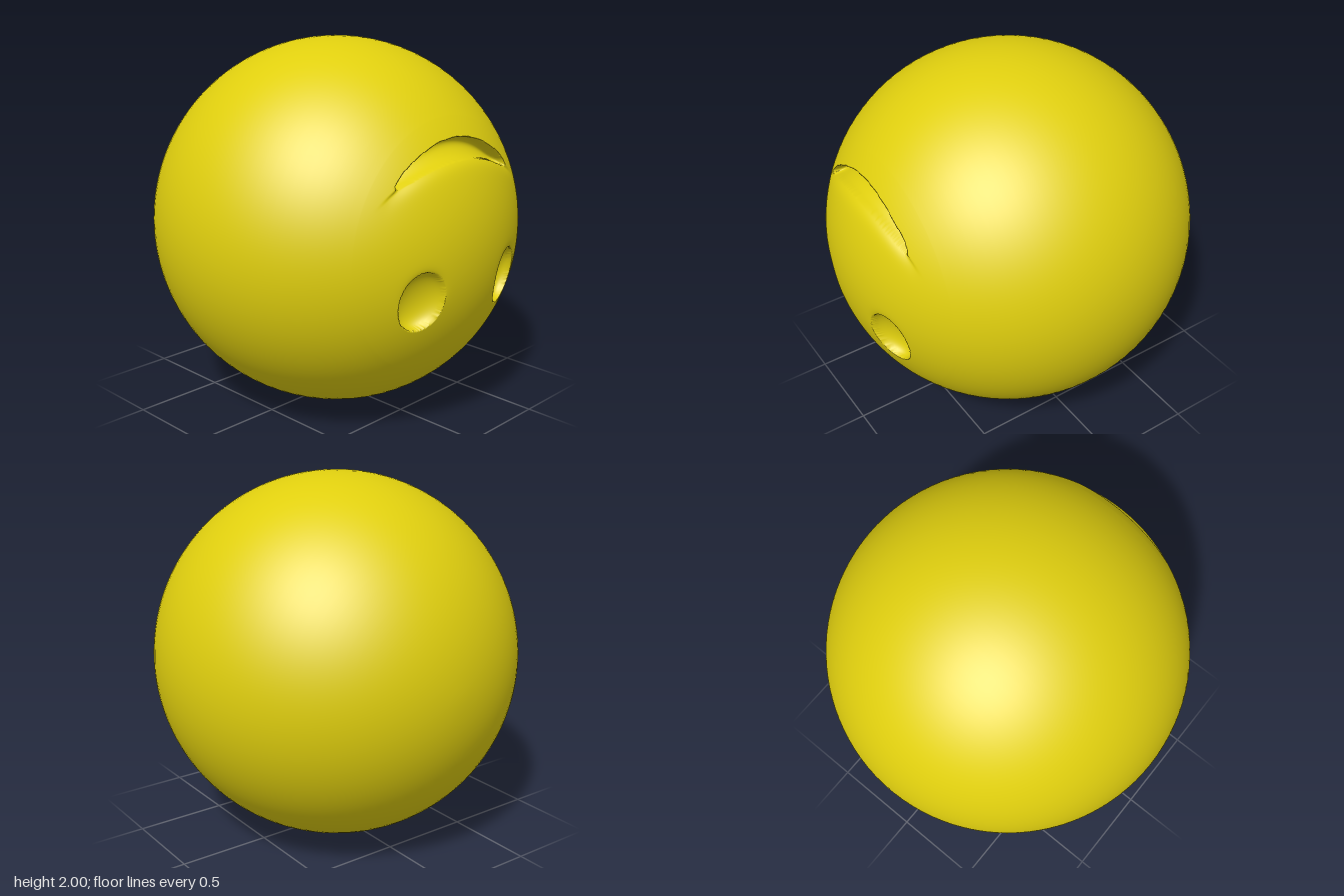
import * as THREE from 'three';
import { mergeVertices } from 'three/addons/utils/BufferGeometryUtils.js';

// Depth of a steep-walled, round-bottomed dent; q is 1 on its rim.
// lip is how far the rim rolls inward, fading over `fade` outside it.
function dent(q, depth, lip, size, fade) {
  if (q < 1) return lip + (depth - lip) * Math.sqrt(1 - q * q);
  return lip * Math.exp(-((q - 1) * size) / fade);
}

// Oval eye sockets
const eyes = [
  { x: -0.335, y: -0.185 },
  { x: 0.3, y: -0.192 },
];
function eyeDepth(x, y) {
  let d = 0;
  for (const e of eyes) {
    const q = Math.hypot((x - e.x) / 0.118, (y - e.y) / 0.152);
    const lip = 0.008 * THREE.MathUtils.smoothstep((y - e.y) / 0.152, -0.4, 1);
    d += dent(q, 0.1, lip, 0.13, 0.015);
  }
  return d;
}

// Arched mouth groove, tapering to rounded ends, with a soft lower lip
function mouthDepth(x, y) {
  const t = (x + 0.02) / 0.41;
  const middle = 0.508 - 0.133 * t * t;
  const half = Math.max(0.052 - 0.028 * t * t, 0.018);
  const s = (y - middle) / half;
  const q = Math.hypot(s, Math.pow(Math.abs(t), 8));
  const lip = 0.02 * THREE.MathUtils.smoothstep(-s, 0, 1);
  return dent(q, 0.09, lip, half, 0.02);
}

// Sphere with its pole at the front and most of its rings around the face
function faceBall() {
  const rings = 190, frontShare = 0.78, frontAngle = 0.72;
  const geo = new THREE.SphereGeometry(1, 360, rings);
  geo.deleteAttribute('uv');
  geo.deleteAttribute('normal');
  const pos = geo.attributes.position;
  for (let i = 0; i < pos.count; i++) {
    const ring = Math.floor(i / 361) / rings;
    const phi = ((i % 361) % 360) / 360 * Math.PI * 2;
    const angle = ring < frontShare
      ? (ring / frontShare) * frontAngle
      : frontAngle + ((ring - frontShare) / (1 - frontShare)) * (Math.PI - frontAngle);
    const r = Math.sin(angle);
    const x = -r * Math.cos(phi), y = -r * Math.sin(phi);
    let z = Math.cos(angle);
    if (z > 0.5) z -= eyeDepth(x, y) + mouthDepth(x, y);
    pos.setXYZ(i, x, y, z);
  }
  const merged = mergeVertices(geo, 1e-5);
  merged.computeVertexNormals();
  return merged;
}

export function createModel() {
  const model = new THREE.Group();
  model.name = 'upsideDownSmileBall';
  const yellow = new THREE.MeshStandardMaterial({ color: 0xe0cf0e });
  yellow.name = 'yellow';

  const ball = new THREE.Mesh(faceBall(), yellow);
  ball.name = 'ballWithFace';
  ball.position.y = 1;
  model.add(ball);
  return model;
}
